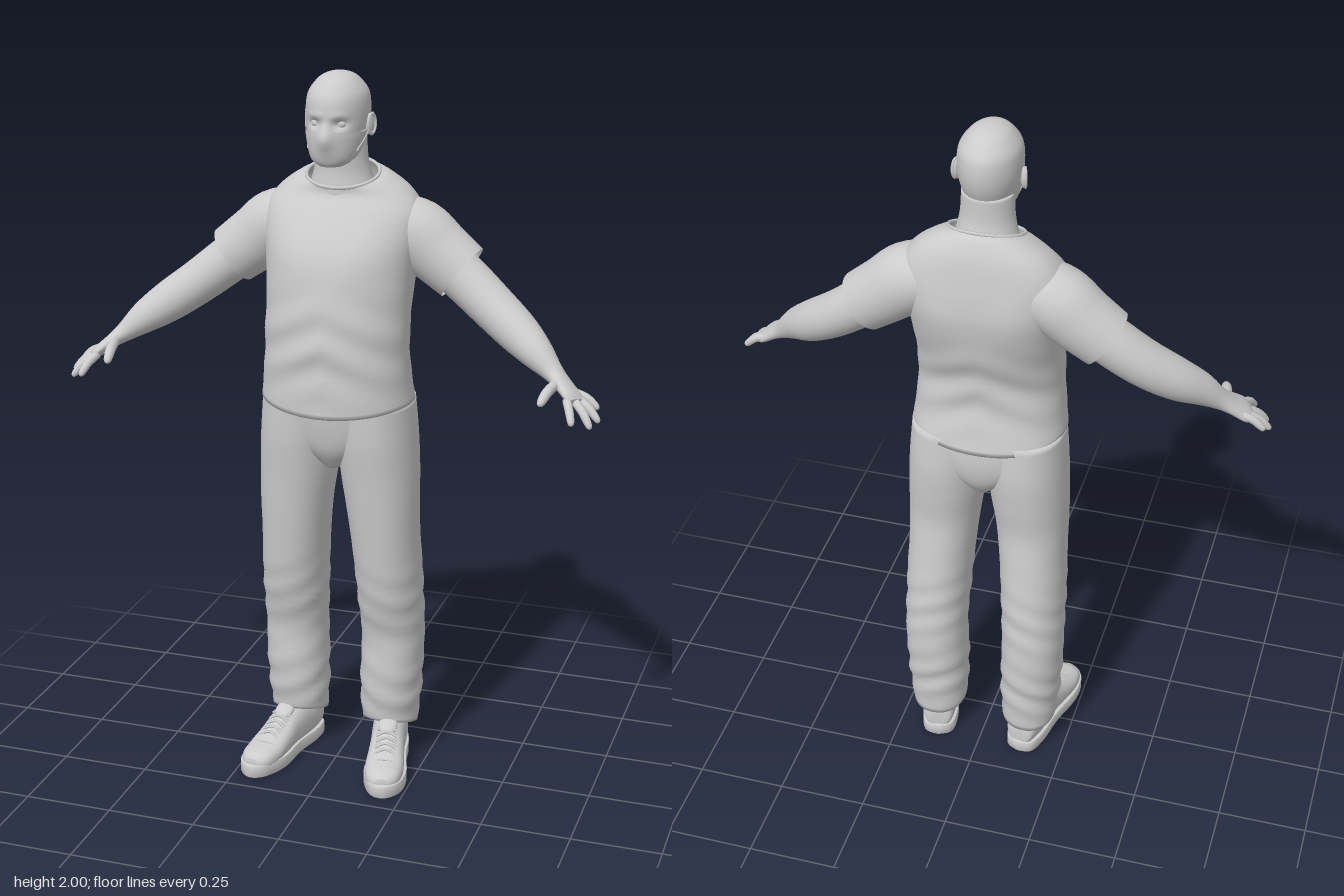
import * as THREE from 'three';
import { toCreasedNormals } from 'three/addons/utils/BufferGeometryUtils.js';

const V3 = (x, y, z) => new THREE.Vector3(x, y, z);
const material = new THREE.MeshStandardMaterial({ color: 0xcccccc, side: THREE.DoubleSide });
const bump = (d, w) => Math.exp(-(d * d) / (w * w));

// Catmull-Rom blend of the section rows [x, y, z, a, b, power, tilt]
function sample(rows, t) {
  const f = t * (rows.length - 1), i = Math.min(Math.floor(f), rows.length - 2), u = f - i;
  const at = (k) => rows[Math.max(0, Math.min(rows.length - 1, k))];
  const full = (r, c) => r[c] ?? (c === 5 ? 2 : 0);
  return [0, 1, 2, 3, 4, 5, 6].map((c) => {
    const [p, q, r, s] = [-1, 0, 1, 2].map((k) => full(at(i + k), c));
    return q + 0.5 * u * (r - p + u * (2 * p - 5 * q + 4 * r - s + u * (3 * (q - r) + s - p)));
  });
}

// Skin over superellipse sections; axis fixes the ring plane, otherwise rings follow the path
function loft(rows, { axis, ref = V3(0, 0, 1), steps = 5, sides = 40, caps = [true, true], arc = null, frontPower, rule } = {}) {
  const n = (rows.length - 1) * steps, pos = [], idx = [];
  const cols = arc ? sides + 1 : sides, put = (p) => { if (rule) rule(p); pos.push(p.x, p.y, p.z); };
  const centre = (t) => V3(...sample(rows, t).slice(0, 3));
  for (let i = 0; i <= n; i++) {
    const t = i / n, [x, y, z, a, b, power, tilt] = sample(rows, t);
    const W = axis ? axis.clone() : centre(Math.min(1, t + 0.02)).sub(centre(Math.max(0, t - 0.02))).normalize();
    const V = ref.clone().addScaledVector(W, -ref.dot(W)).normalize(), U = W.clone().cross(V);
    for (let j = 0; j < cols; j++) {
      const th = arc ? arc[0] + (arc[1] - arc[0]) * j / sides : 2 * Math.PI * j / sides;
      const c = Math.cos(th), s = Math.sin(th), e = 2 / (s > 0 && frontPower ? frontPower : power);
      const v = b * Math.sign(s) * Math.abs(s) ** e;
      put(V3(x, y, z).addScaledVector(U, a * Math.sign(c) * Math.abs(c) ** e).addScaledVector(V, v).addScaledVector(W, tilt * v));
    }
  }
  for (let i = 0; i < n; i++) for (let j = 0; j < sides; j++) {
    const k = (j + 1) % cols, p = i * cols, q = p + cols;
    idx.push(p + j, q + j, p + k, p + k, q + j, q + k);
  }
  caps.forEach((on, end) => {
    if (!on || arc) return;
    const first = end ? n * cols : 0, mid = pos.length / 3;
    put(centre(end));
    for (let j = 0; j < sides; j++) {
      const p = first + j, q = first + (j + 1) % sides;
      idx.push(mid, ...(end ? [q, p] : [p, q]));
    }
  });
  const geo = new THREE.BufferGeometry();
  geo.setAttribute('position', new THREE.Float32BufferAttribute(pos, 3));
  geo.setIndex(idx);
  geo.computeVertexNormals();
  return geo;
}

const tube = (pts, r, closed = false, seg = 16) =>
  new THREE.TubeGeometry(new THREE.CatmullRomCurve3(pts.map((p) => V3(...p)), closed), seg, r, 6, closed);

function mirror(geo) {
  const g = geo.clone().scale(-1, 1, 1);
  const src = g.index ? Array.from(g.index.array) : Array.from({ length: g.attributes.position.count }, (_, i) => i);
  for (let i = 0; i < src.length; i += 3) [src[i], src[i + 1]] = [src[i + 1], src[i]];
  g.setIndex(src);
  return g;
}

export function createModel() {
  const model = new THREE.Group();
  const add = (name, geo) => {
    const mesh = new THREE.Mesh(geo, material);
    mesh.name = name;
    model.add(mesh);
  };
  const addPair = (name, geo) => { add('left' + name, geo); add('right' + name, mirror(geo)); };
  const up = V3(0, 1, 0);

  // Head with eye sockets, brow and nose bridge
  const skull = [[0, 1.762, 0.035, 0.03, 0.04], [0, 1.775, 0.016, 0.055, 0.068], [0, 1.8, 0, 0.068, 0.091],
    [0, 1.84, -0.011, 0.077, 0.104], [0, 1.88, -0.018, 0.083, 0.108], [0, 1.92, -0.019, 0.083, 0.108],
    [0, 1.95, -0.02, 0.076, 0.098], [0, 1.98, -0.019, 0.053, 0.07], [0, 1.994, -0.018, 0.03, 0.04], [0, 2, -0.018, 0.002, 0.002]];
  add('head', loft(skull, { axis: up, sides: 64, steps: 7, rule: (p) => {
    if (p.z < 0.02) return;
    p.z -= 0.014 * bump(Math.abs(p.x) - 0.034, 0.017) * bump(p.y - 1.873, 0.012);
    p.z += 0.004 * bump(Math.abs(p.x) - 0.03, 0.025) * bump(p.y - 1.895, 0.01);
    p.z += 0.014 * bump(p.x, 0.012) * bump(p.y - 1.85, 0.02);
  } }));
  add('neck', loft([[0, 1.64, -0.06, 0.1, 0.08], [0, 1.69, -0.057, 0.09, 0.075], [0, 1.73, -0.053, 0.078, 0.067],
    [0, 1.77, -0.048, 0.071, 0.064], [0, 1.83, -0.045, 0.068, 0.066]], { axis: up }));
  addPair('Eye', new THREE.SphereGeometry(0.014, 16, 12).translate(0.034, 1.873, 0.06));
  const ear = new THREE.SphereGeometry(1, 16, 12).scale(0.008, 0.029, 0.017).rotateY(-0.35).translate(0.086, 1.862, -0.022);
  addPair('Ear', ear);
  addPair('EarRim', new THREE.TorusGeometry(0.018, 0.004, 6, 20).scale(0.85, 1.45, 1).rotateY(Math.PI / 2 - 0.35).translate(0.091, 1.863, -0.023));

  // Face mask, peaked over the nose, with straps to the ears
  const cover = skull.slice(0, 4).map(([x, y, z, a, b]) => [x, y - 0.002, z, a + 0.004, b + 0.004]);
  cover.push([0, 1.858, -0.014, 0.083, 0.11]);
  add('faceMask', loft(cover, { axis: up, steps: 6, arc: [0.13 * Math.PI, 0.87 * Math.PI], rule: (p) => {
    p.z += 0.016 * bump(p.x, 0.022) * bump(p.y - 1.832, 0.028);
    p.y += (p.y > 1.8 ? 0.012 : 0) * (bump(p.x, 0.03) - 0.6) * (p.y - 1.8) / 0.06;
  } }));
  for (const y of [1.845, 1.8]) addPair('MaskStrap', tube([[0.068, y, 0.035], [0.079, (y + 1.853) / 2, 0.005], [0.086, 1.853, -0.022]], 0.002));

  // Shirt body with a curved hem and soft folds
  add('shirt', loft([[0, 1.085, -0.016, 0.213, 0.163, 2.4], [0, 1.2, -0.005, 0.203, 0.15, 2.4], [0, 1.3, -0.005, 0.199, 0.15, 2.4],
    [0, 1.4, -0.022, 0.2, 0.158, 2.6], [0, 1.5, -0.04, 0.207, 0.155, 3], [0, 1.57, -0.055, 0.216, 0.14, 3],
    [0, 1.63, -0.07, 0.215, 0.118, 2.8], [0, 1.68, -0.078, 0.18, 0.098, 2.5, -0.1],
    [0, 1.713, -0.069, 0.13, 0.087, 2.2, -0.25], [0, 1.722, -0.058, 0.1, 0.08, 2, -0.35]],
  { axis: up, sides: 64, steps: 6, frontPower: 2.1, caps: [true, false], rule: (p) => {
    const low = bump(p.y - 1.27, 0.12), side = Math.sign(p.z + 0.01);
    p.z += side * 0.005 * low * Math.sin(p.y * 55 + Math.abs(p.x) * 28);
    p.z += side * 0.006 * bump(Math.abs(p.x) - 0.09, 0.07) * bump(p.y - 1.52, 0.07);
    p.y += 0.5 * p.x * p.x * bump(p.y - 1.085, 0.06);
  } }));
  const ring = Array.from({ length: 16 }, (_, i) => {
    const t = i * Math.PI / 8, v = 0.08 * Math.sin(t);
    return [0.1 * Math.cos(t), 1.722 - 0.35 * v, -0.058 + v];
  });
  add('collar', tube(ring, 0.005, true, 64));

  // Sleeves, then bare arms running into the palms
  addPair('Sleeve', loft([[0.13, 1.585, -0.085, 0.085, 0.09], [0.2, 1.56, -0.09, 0.095, 0.092],
    [0.26, 1.515, -0.09, 0.09, 0.086], [0.328, 1.464, -0.085, 0.084, 0.081]], { caps: [true, false] }));
  addPair('Arm', loft([[0.23, 1.535, -0.085, 0.068, 0.068], [0.33, 1.457, -0.077, 0.066, 0.067], [0.42, 1.387, -0.055, 0.062, 0.066],
    [0.5, 1.33, -0.022, 0.057, 0.059], [0.56, 1.288, 0.012, 0.045, 0.047], [0.61, 1.248, 0.037, 0.028, 0.033],
    [0.64, 1.225, 0.055, 0.02, 0.037], [0.675, 1.197, 0.076, 0.016, 0.044], [0.69, 1.187, 0.086, 0.01, 0.036]], { sides: 28 }));

  // Fingers: knuckle, middle joint, tip
  const fingers = { LittleFinger: [[0.672, 1.201, 0.045], [0.738, 1.16, 0.046]], RingFinger: [[0.682, 1.193, 0.065], [0.748, 1.137, 0.087]],
    MiddleFinger: [[0.682, 1.19, 0.09], [0.734, 1.131, 0.13]], IndexFinger: [[0.665, 1.196, 0.11], [0.692, 1.148, 0.17]],
    Thumb: [[0.628, 1.228, 0.07], [0.607, 1.196, 0.175]] };
  for (const [name, [base, tip]] of Object.entries(fingers)) {
    const r = name === 'Thumb' ? 0.014 : 0.0115;
    const rows = [[0, 1], [0.5, 1], [0.8, 0.9], [0.95, 0.65], [1, 0.15]].map(([t, k]) => {
      const p = base.map((b, c) => b + (tip[c] - b) * t);
      p[1] += 0.008 * Math.sin(Math.PI * t);
      return [...p, r * k, r * k];
    });
    addPair(name, loft(rows, { ref: up, sides: 12, steps: 3 }));
  }

  // Trousers: seat plus two loose legs that crease at the knee and ankle
  add('trouserSeat', loft([[0, 0.915, -0.035, 0.035, 0.085], [0, 0.97, -0.035, 0.13, 0.122], [0, 1.04, -0.033, 0.2, 0.137], [0, 1.13, -0.025, 0.203, 0.14]], { axis: up }));
  addPair('TrouserLeg', loft([[0.138, 0.112, -0.085, 0.079, 0.084, 2.2, 0.28], [0.14, 0.2, -0.084, 0.085, 0.094, 2.2], [0.143, 0.3, -0.084, 0.088, 0.101, 2.2],
    [0.145, 0.4, -0.085, 0.088, 0.101, 2.2], [0.142, 0.5, -0.07, 0.09, 0.112, 2.2], [0.138, 0.6, -0.057, 0.092, 0.118, 2.2],
    [0.132, 0.7, -0.045, 0.094, 0.118, 2.2], [0.126, 0.8, -0.035, 0.1, 0.118, 2.2], [0.118, 0.9, -0.035, 0.107, 0.128, 2.2],
    [0.112, 1, -0.033, 0.108, 0.137, 2.2], [0.107, 1.11, -0.028, 0.104, 0.135, 2.2]],
  { axis: up, rule: (p) => {
    const fold = bump(p.y - 0.22, 0.09) + 0.6 * bump(p.y - 0.5, 0.1);
    const k = 1 + 0.045 * fold * Math.sin(p.y * 75 + p.x * 30 + p.z * 22);
    p.x = 0.14 + (p.x - 0.14) * k;
    p.z = -0.07 + (p.z + 0.07) * k;
  } }));

  // Shoes, built straight and then turned outward
  const place = (geo) => geo.rotateY(0.2).translate(0.16, 0, 0.015);
  const outline = new THREE.Shape(new THREE.SplineCurve([[0, -0.186], [0.038, -0.17], [0.05, -0.11], [0.05, -0.02], [0.06, 0.08], [0.05, 0.145], [0.022, 0.18],
    [-0.01, 0.186], [-0.04, 0.155], [-0.057, 0.08], [-0.047, -0.02], [-0.05, -0.11], [-0.038, -0.17], [0, -0.186]].map((p) => new THREE.Vector2(...p))).getPoints(60));
  const sole = new THREE.ExtrudeGeometry(outline, { depth: 0.03, bevelSize: 0.003, bevelThickness: 0.003, bevelSegments: 2 });
  sole.rotateX(Math.PI / 2).translate(0, 0.033, 0);
  addPair('ShoeSole', place(toCreasedNormals(sole, 0.7)));
  addPair('ShoeUpper', place(loft([[0, 0.05, -0.18, 0.025, 0.025], [0, 0.068, -0.168, 0.042, 0.052], [0, 0.075, -0.12, 0.05, 0.062, 2.4],
    [0, 0.075, -0.06, 0.05, 0.066, 2.4], [0, 0.069, -0.01, 0.049, 0.06, 2.3], [0, 0.056, 0.04, 0.052, 0.047, 2.3],
    [0, 0.043, 0.1, 0.055, 0.036, 2.4], [0, 0.038, 0.15, 0.046, 0.03, 2.4], [0, 0.034, 0.176, 0.022, 0.018]],
  { axis: V3(0, 0, 1), ref: up, sides: 32 })));
  const toeSeam = Array.from({ length: 9 }, (_, i) => {
    const t = i * Math.PI / 8;
    return [0.053 * Math.cos(t), 0.042 + 0.036 * Math.sin(t) ** 0.85, 0.085 + 0.022 * Math.sin(t)];
  });
  addPair('ToeSeam', place(tube(toeSeam, 0.0025)));
  for (let i = 0; i < 5; i++) for (const s of [-1, 1]) {
    const z = i * 0.018, top = 0.129 - z * 0.52;
    addPair('ShoeLace', place(tube([[-0.03 * s, top - 0.009, z - 0.007], [0, top + 0.002, z], [0.03 * s, top - 0.009, z + 0.007]], 0.0035, false, 8)));
  }
  addPair('ShoeTongue', place(new THREE.SphereGeometry(1, 20, 12).scale(0.028, 0.014, 0.035).rotateX(0.5).translate(0, 0.128, -0.012)));
  return model;
}
